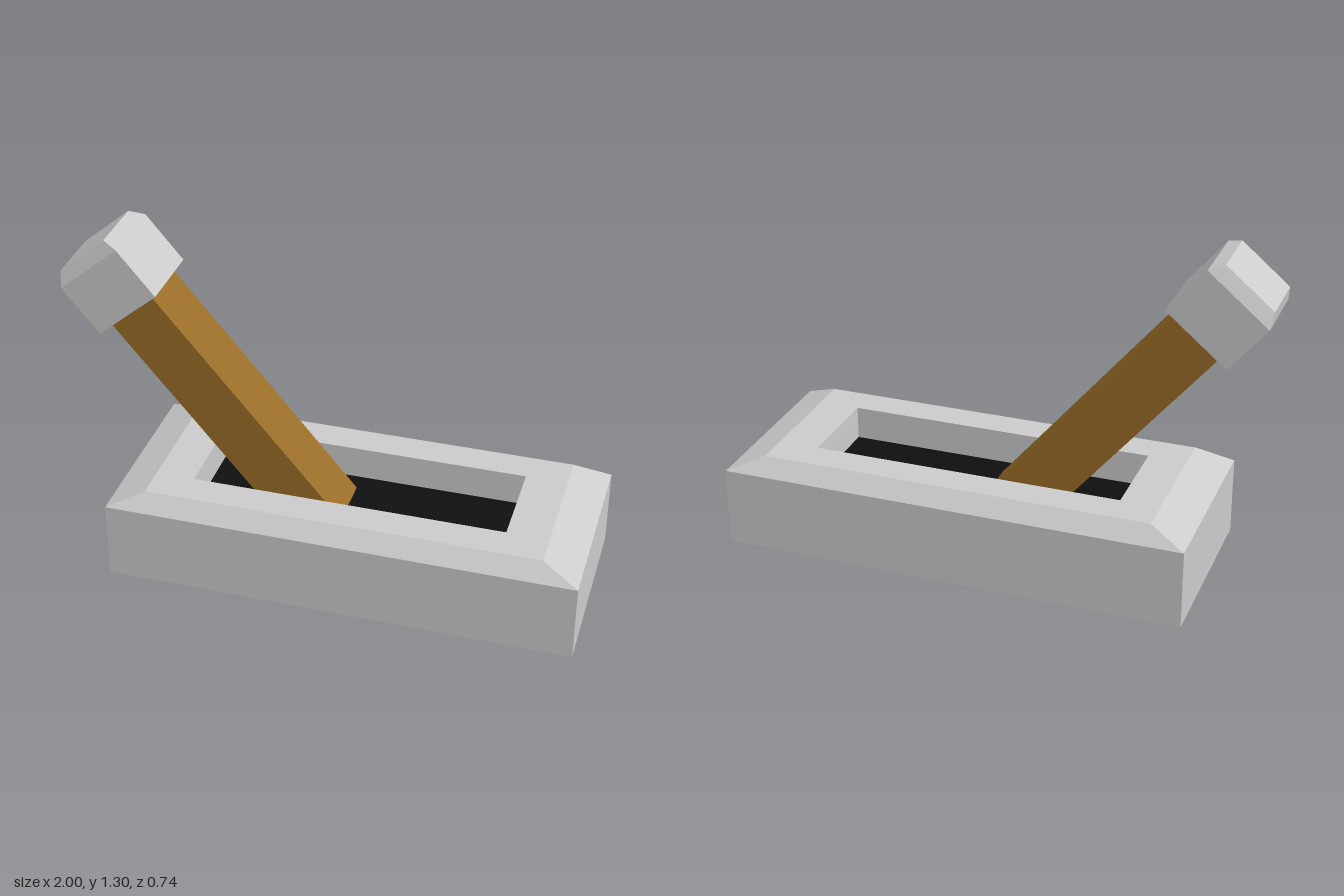
import * as THREE from 'three';

// Rectangular cross-section at height y: counter-clockwise seen from above
const ring = (x0, x1, z, y) => [[x0, y, z], [x1, y, z], [x1, y, -z], [x0, y, -z]];

// Joins successive rings with flat quads; optional caps on the first and last ring
function loft(rings, capFirst, capLast) {
  const pos = [];
  const quad = (a, b, c, d) => pos.push(...a, ...b, ...c, ...a, ...c, ...d);
  for (let r = 0; r < rings.length - 1; r++) {
    const lo = rings[r], hi = rings[r + 1];
    for (let i = 0; i < 4; i++) {
      const j = (i + 1) % 4;
      quad(lo[i], lo[j], hi[j], hi[i]);
    }
  }
  if (capFirst) quad(...[...rings[0]].reverse());
  if (capLast) quad(...rings[rings.length - 1]);
  const geo = new THREE.BufferGeometry();
  geo.setAttribute('position', new THREE.Float32BufferAttribute(pos, 3));
  geo.computeVertexNormals();
  return geo;
}

function part(name, geometry, color) {
  const mesh = new THREE.Mesh(geometry, new THREE.MeshStandardMaterial({ color, flatShading: true }));
  mesh.name = name;
  return mesh;
}

export function createModel() {
  const model = new THREE.Group();
  model.name = 'leverSwitch';
  const floorY = 0.235;

  // Bevelled base whose top folds inward and down into the slot
  model.add(part('base', loft([
    ring(-0.79, 1, 0.37, 0),
    ring(-0.79, 1, 0.37, 0.305),
    ring(-0.65, 0.86, 0.31, 0.365),
    ring(-0.5, 0.7, 0.183, 0.365),
    ring(-0.5, 0.7, 0.183, floorY),
  ], true, false), 0xcccccc));

  // Black bottom of the slot
  const floor = part('slotFloor', new THREE.PlaneGeometry(1.2, 0.366), 0x0f0f0f);
  floor.rotation.x = -Math.PI / 2;
  floor.position.set(0.1, floorY, 0);
  model.add(floor);

  // Lever tilted towards -x, pivoting where its axis meets the base top
  const lever = new THREE.Group();
  lever.name = 'lever';
  lever.position.set(-0.193, 0.365, 0);
  lever.rotation.z = THREE.MathUtils.degToRad(40);
  model.add(lever);

  // The shaft runs down through the slot floor and up into the cap
  const shaft = part('shaft', new THREE.BoxGeometry(0.215, 1.2, 0.22), 0x9a6d27);
  shaft.position.y = 0.3;
  lever.add(shaft);

  // Chamfered cap
  lever.add(part('leverCap', loft([
    ring(-0.147, 0.147, 0.147, 0.853),
    ring(-0.147, 0.147, 0.147, 1.073),
    ring(-0.116, 0.116, 0.12, 1.123),
  ], true, true), 0xcccccc));

  return model;
}
